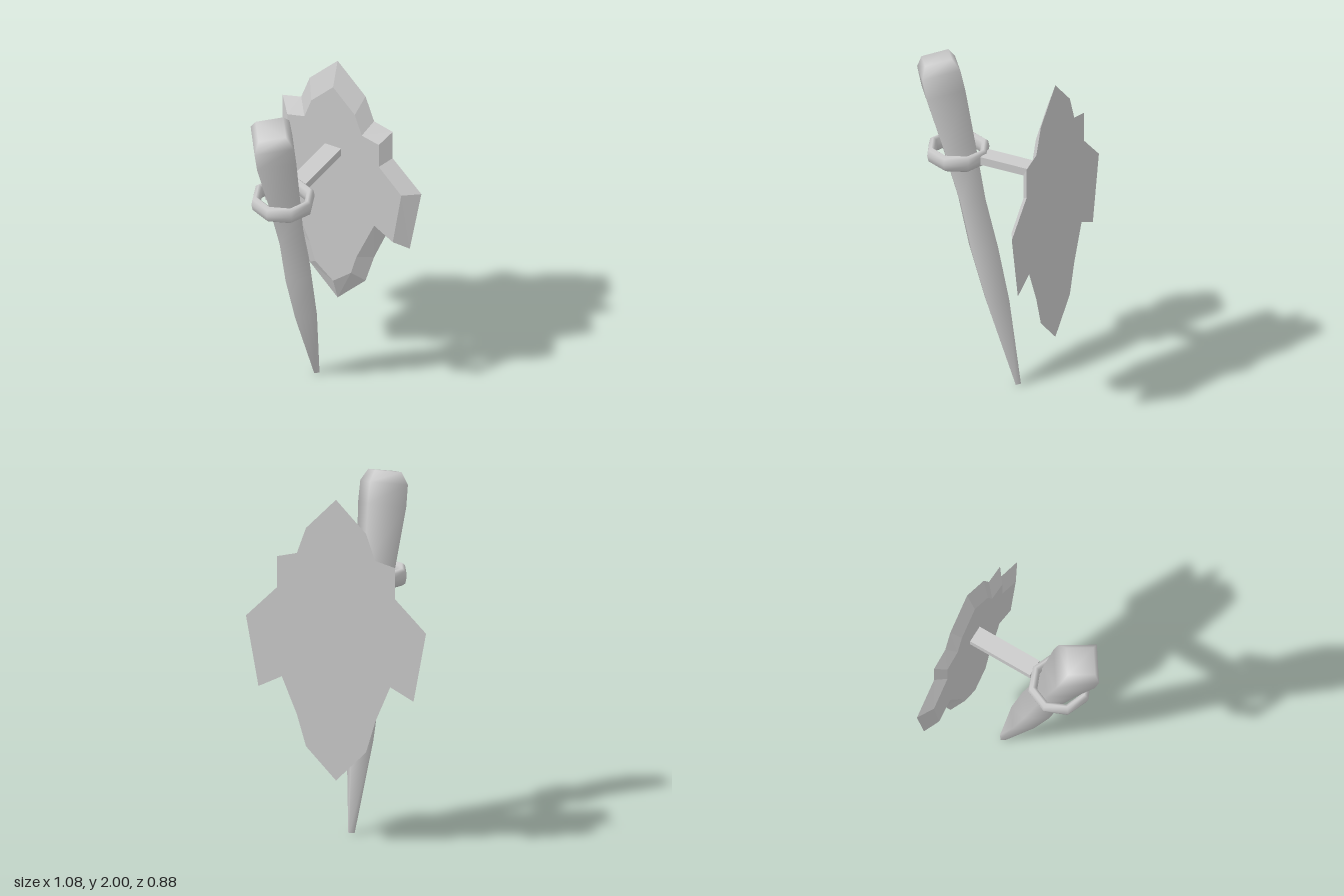
import * as THREE from 'three';

const grey = (flatShading) => new THREE.MeshStandardMaterial({ color: 0xcccccc, flatShading });

function mesh(name, geometry, flat) {
  const m = new THREE.Mesh(geometry, grey(flat));
  m.name = name;
  return m;
}

function indexed(positions, index) {
  const g = new THREE.BufferGeometry();
  g.setAttribute('position', new THREE.Float32BufferAttribute(positions, 3));
  g.setIndex(index);
  return g;
}

// Mirror a right-hand half outline (bottom to top, ends on the centre line)
function mirrored(half) {
  const left = half.slice(1, -1).reverse().map(([x, y]) => [-x, y]);
  return [...half, ...left].map(([x, y]) => new THREE.Vector2(x, y));
}

// Leaf-shaped plate with a bevelled rim: wide outline behind, smaller in front
function wallPlate() {
  const back = mirrored([[0, 0.37], [0.18, 0.55], [0.235, 0.73], [0.325, 0.94], [0.465, 0.87],
    [0.54, 1.27], [0.355, 1.45], [0.355, 1.63], [0.235, 1.66], [0.18, 1.81], [0, 1.99]]);
  const front = mirrored([[0, 0.515], [0.115, 0.61], [0.15, 0.73], [0.265, 0.987], [0.385, 0.917],
    [0.44, 1.255], [0.295, 1.4], [0.295, 1.55], [0.185, 1.575], [0.14, 1.7], [0, 1.84]]);
  const n = back.length;
  const pos = [];
  back.forEach((p) => pos.push(p.x, p.y, -0.436));
  front.forEach((p) => pos.push(p.x, p.y, -0.385));
  const index = [];
  for (const [a, b, c] of THREE.ShapeUtils.triangulateShape(back, [])) index.push(a, c, b);
  for (const [a, b, c] of THREE.ShapeUtils.triangulateShape(front, [])) index.push(n + a, n + b, n + c);
  for (let i = 0; i < n; i++) {
    const j = (i + 1) % n;
    index.push(i, j, n + j, i, n + j, n + i);
  }
  const g = indexed(pos, index).toNonIndexed();
  g.computeVertexNormals();
  return mesh('wallPlate', g, true);
}

// Leaning four-sided shaft, swept through square sections [y, z, radius]
function torchShaft() {
  const sections = [[0.01, -0.203, 0.021], [0.52, -0.073, 0.087], [0.84, 0.012, 0.104],
    [1.13, 0.085, 0.098], [1.46, 0.17, 0.125], [1.79, 0.262, 0.157],
    [1.91, 0.292, 0.155], [1.975, 0.305, 0.109]];
  const tilt = 0.25, twist = 0.17;
  const pos = [], index = [];
  sections.forEach(([y, z, r], i) => {
    for (let k = 0; k < 4; k++) {
      const a = twist + k * Math.PI / 2;
      const f = r * Math.sin(a);
      pos.push(r * Math.cos(a), y - f * Math.sin(tilt), z + f * Math.cos(tilt));
      if (i === sections.length - 1) continue;
      const p = i * 4 + k, q = i * 4 + (k + 1) % 4;
      index.push(p, p + 4, q, q, p + 4, q + 4);
    }
  });
  const t = (sections.length - 1) * 4;
  index.push(0, 1, 2, 0, 2, 3, t, t + 2, t + 1, t, t + 3, t + 2);
  const g = indexed(pos, index);
  g.computeVertexNormals();
  return mesh('torchShaft', g, false);
}

export function createModel() {
  const model = new THREE.Group();
  model.name = 'wallTorch';

  // Octagonal holding ring, its tube stretched upright
  const ring = mesh('holdingRing', new THREE.TorusGeometry(0.157, 0.026, 8, 8)
    .rotateX(Math.PI / 2).scale(1, 1.92, 1), false);
  ring.position.set(0, 1.41, 0.17);

  // Flat arm between plate and ring
  const arm = mesh('bracketArm', new THREE.BoxGeometry(0.102, 0.048, 0.39), true);
  arm.position.set(0, 1.414, -0.19);

  model.add(wallPlate(), arm, ring, torchShaft());
  return model;
}
